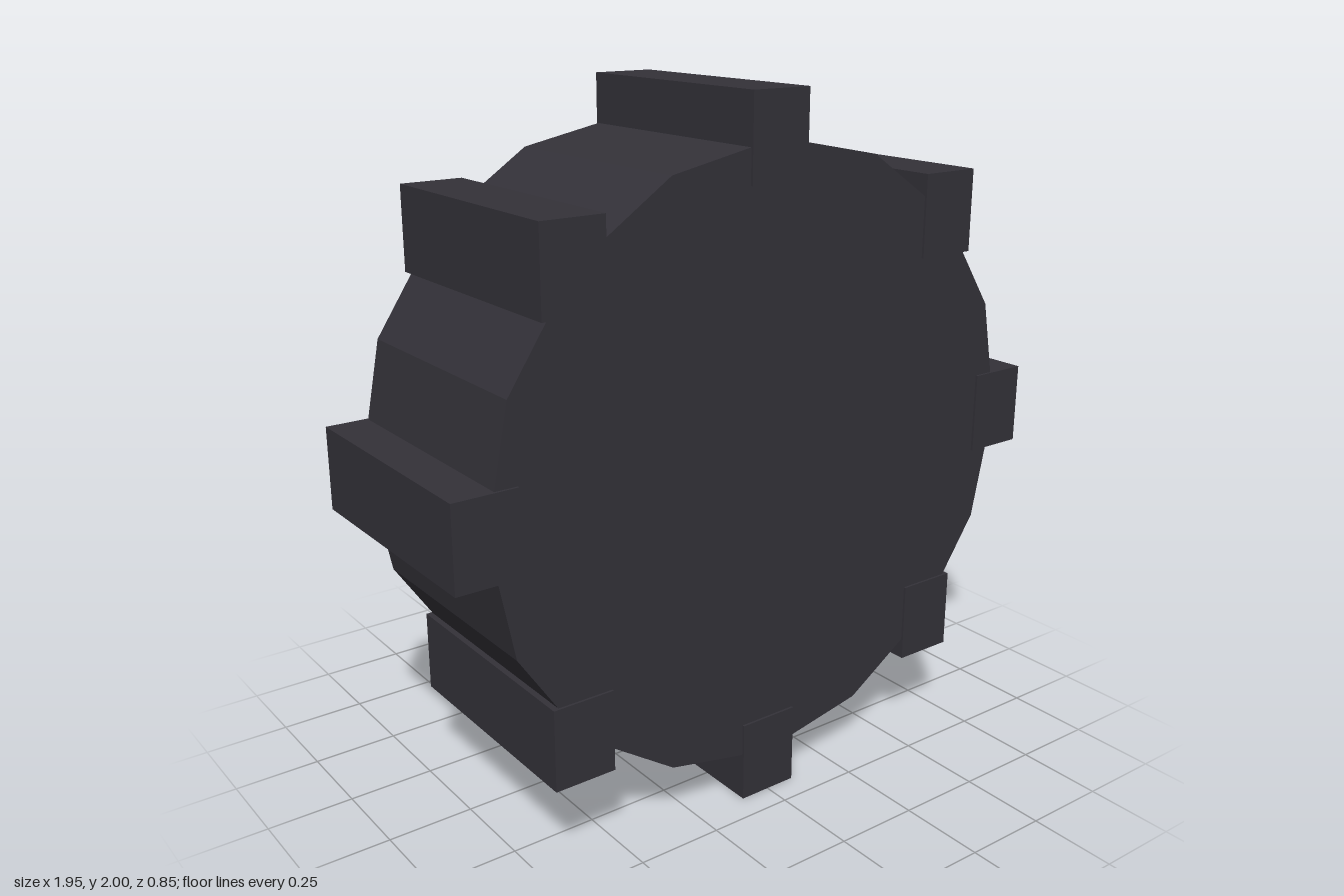
import * as THREE from 'three';

const rubber = new THREE.MeshStandardMaterial({ name: 'dark rubber', color: 0x333138, flatShading: true });
const metal = new THREE.MeshStandardMaterial({ name: 'light grey metal', color: 0xc0c1c2, flatShading: true });

// A many-sided disc around the z axis, between two depths
function disc(name, radius, sides, zBack, zFront, material, turn = 0) {
  const geometry = new THREE.CylinderGeometry(radius, radius, zFront - zBack, sides, 1, false, turn);
  geometry.rotateX(Math.PI / 2);
  const mesh = new THREE.Mesh(geometry, material);
  mesh.name = name;
  mesh.position.set(0, 1, (zBack + zFront) / 2);
  return mesh;
}

export function createModel() {
  const wheel = new THREE.Group();
  wheel.name = 'wheel';

  // Tyre, hub plate and axle cap, stacked towards the back
  wheel.add(disc('tyre', 0.878, 16, -0.275, 0.415, rubber));
  wheel.add(disc('hubPlate', 0.617, 12, -0.354, -0.27, metal));
  wheel.add(disc('axleCap', 0.248, 10, -0.424, -0.35, metal, Math.PI / 2));

  // Eight upright tread blocks around the rim
  const treads = new THREE.Group();
  treads.name = 'treadBlocks';
  const block = new THREE.BoxGeometry(0.183, 0.236, 0.704);
  for (let i = 0; i < 8; i++) {
    const angle = (i * Math.PI) / 4;
    const tread = new THREE.Mesh(block, rubber);
    tread.name = 'treadBlock';
    tread.position.set(0.882 * Math.cos(angle), 1 + 0.882 * Math.sin(angle), 0.07);
    treads.add(tread);
  }
  wheel.add(treads);
  return wheel;
}
